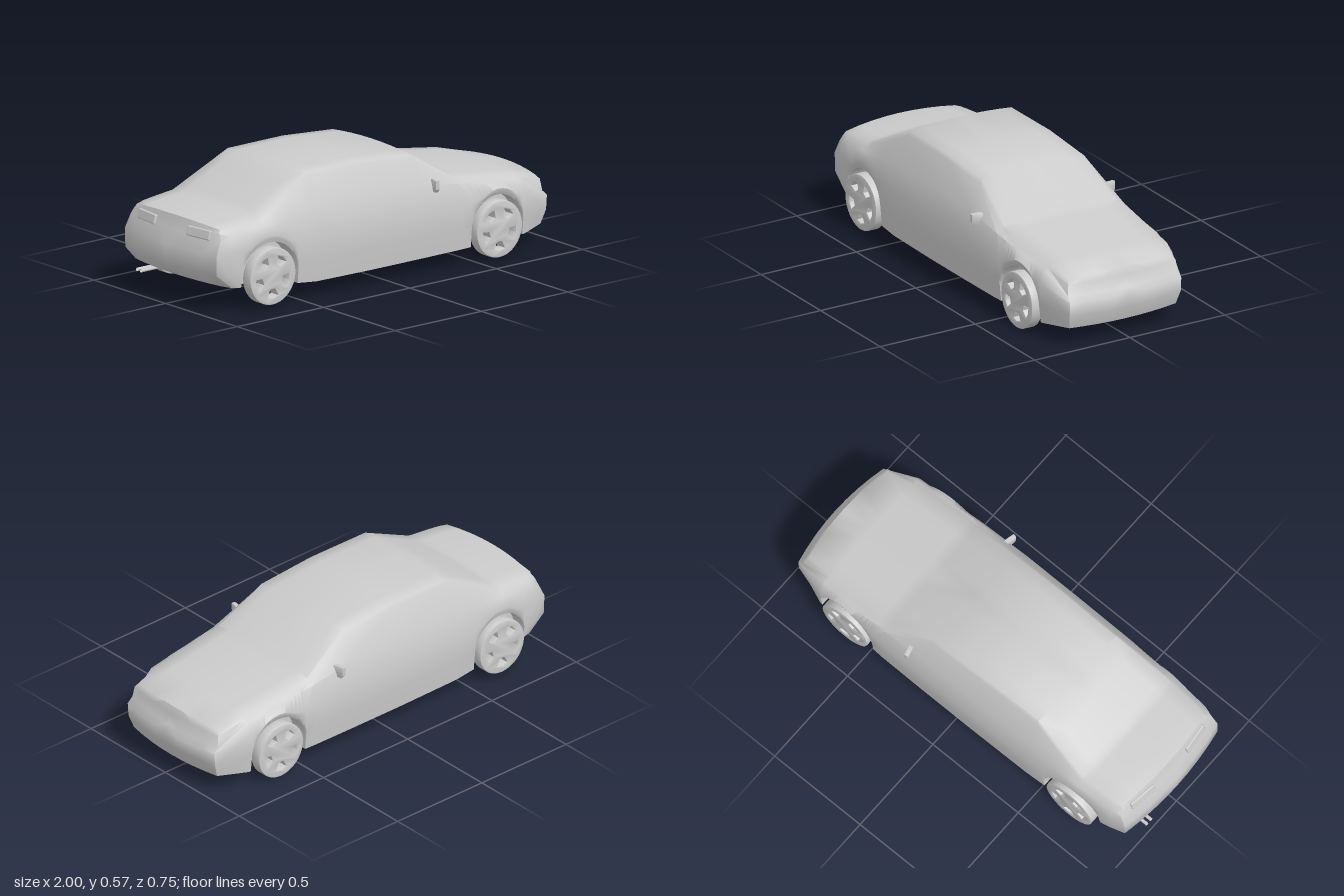
import * as THREE from 'three';
import { toCreasedNormals } from 'three/addons/utils/BufferGeometryUtils.js';
import { RoundedBoxGeometry } from 'three/addons/geometries/RoundedBoxGeometry.js';

const grey = new THREE.MeshStandardMaterial({ color: 0xcccccc, side: THREE.DoubleSide });
const WHEEL_R = 0.131, ARCH_R = 0.155, WELL_Z = 0.27;
const AXLES = [{ x: -0.68, y: 0.147 }, { x: 0.632, y: 0.132 }];

// Body stations, rear to nose:
// x, top y, top edge z, belt y z, widest y z, low y z, floor y z
const STATIONS = [
  [-0.95, 0.405, 0.285, 0.345, 0.312, 0.28, 0.32, 0.19, 0.318, 0.13, 0.30],
  [-0.90, 0.412, 0.29, 0.36, 0.325, 0.28, 0.335, 0.18, 0.333, 0.12, 0.32],
  [-0.71, 0.427, 0.30, 0.38, 0.335, 0.29, 0.352, 0.18, 0.35, 0.105, 0.345],
  [-0.42, 0.575, 0.265, 0.41, 0.335, 0.30, 0.366, 0.18, 0.362, 0.075, 0.352],
  [-0.10, 0.575, 0.268, 0.41, 0.337, 0.30, 0.369, 0.18, 0.365, 0.072, 0.354],
  [0.19, 0.553, 0.268, 0.41, 0.337, 0.30, 0.369, 0.18, 0.365, 0.072, 0.354],
  [0.42, 0.412, 0.298, 0.372, 0.335, 0.29, 0.365, 0.18, 0.362, 0.072, 0.352],
  [0.80, 0.357, 0.285, 0.32, 0.32, 0.27, 0.347, 0.17, 0.345, 0.075, 0.335],
  [0.95, 0.325, 0.27, 0.24, 0.288, 0.215, 0.292, 0.15, 0.292, 0.085, 0.28],
];
// How far the bumpers swell out, row by row down the fascia
const NOSE = [0, 0, 0, 0, 0, 0.015, 0.025, 0.05, 0.045, 0.02];
const TAIL = [0, 0, 0, 0, 0, 0.01, 0.02, 0.05, 0.05, 0.0];
const clamp01 = (v) => Math.min(1, Math.max(0, v));

function stationAt(x) {
  let i = 0;
  while (i < STATIONS.length - 2 && x > STATIONS[i + 1][0]) i++;
  const a = STATIONS[i], b = STATIONS[i + 1], t = (x - a[0]) / (b[0] - a[0]);
  return a.map((v, k) => v + (b[k] - v) * t);
}

// Swelling and plan curvature of the two ends
function warp(x, y, z, row) {
  const f = clamp01((x - 0.8) / 0.15), r = clamp01((-0.84 - x) / 0.11), j = Math.min(row, 9);
  return [x + f * (NOSE[j] - 0.4 * z * z) - r * (TAIL[j] - 0.3 * z * z), y, z];
}

// Half section from the top centre, down the side, through the wheel well to the floor centre
function section(x, archY) {
  const [, yt, ze, yb, zb, yw, zw, yl, zl, yf, zf] = stationAt(x);
  const open = archY !== undefined;
  const ya = open ? Math.max(archY, yf) : yf;
  const pts = [0, 0.25, 0.5, 0.75, 1].map((t) => [yt - 0.015 * t * t, ze * t]);
  pts.push([yt - 0.032, ze + 0.012], [yb, zb], [Math.max(yw, open ? ya + 0.03 : 0), zw],
    [Math.max(yl, open ? ya + 0.018 : 0), zl], [ya, zf], [ya, WELL_Z], [yf, WELL_Z], [yf, 0]);
  return pts.map(([y, z], row) => warp(x, y, z, row));
}

function makeBody() {
  // Plain stations, plus a fan of stations around each wheel arch
  const list = [];
  for (const s of STATIONS) {
    if (!AXLES.some((a) => Math.abs(s[0] - a.x) <= ARCH_R)) list.push([s[0]]);
  }
  for (const a of AXLES) {
    const fan = [[a.x - ARCH_R]];
    for (let i = 0; i <= 16; i++) {
      const t = Math.PI * (1 - i / 16);
      fan.push([a.x + ARCH_R * Math.cos(t), a.y + ARCH_R * Math.sin(t)]);
    }
    fan.push([a.x + ARCH_R]);
    const at = list.findIndex((s) => s[0] > a.x);
    list.splice(at, 0, ...fan);
  }
  const rings = list.map(([x, y]) => section(x, y));

  const pos = [];
  const A = new THREE.Vector3(), B = new THREE.Vector3(), C = new THREE.Vector3();
  const tri = (a, b, c) => {
    A.fromArray(a); B.fromArray(b).sub(A); C.fromArray(c).sub(A);
    if (B.cross(C).length() < 1e-9) return;
    pos.push(...a, ...b, ...c);
    for (const p of [a, c, b]) pos.push(p[0], p[1], -p[2]); // mirrored side
  };
  const quad = (a, b, c, d) => { tri(a, b, c); tri(a, c, d); };

  for (let i = 0; i < rings.length - 1; i++) {
    const r = rings[i], s = rings[i + 1];
    for (let j = 0; j < r.length - 1; j++) quad(r[j], r[j + 1], s[j + 1], s[j]);
  }
  // Nose and tail fascias
  for (const front of [true, false]) {
    const ring = rings[front ? rings.length - 1 : 0];
    const x0 = STATIONS[front ? STATIONS.length - 1 : 0][0];
    const point = (row, k) => (row === 4 ? ring[k]
      : k === 4 ? ring[row] : warp(x0, ring[row][1], ring[row][2] * k / 4, row));
    for (let row = 4; row < 9; row++) {
      for (let k = 0; k < 4; k++) {
        const q = [point(row, k), point(row, k + 1), point(row + 1, k + 1), point(row + 1, k)];
        quad(...(front ? q : q.reverse()));
      }
    }
  }
  const geo = new THREE.BufferGeometry();
  geo.setAttribute('position', new THREE.Float32BufferAttribute(pos, 3));
  return toCreasedNormals(geo, 0.9);
}

// Wheel disc with five tapered openings
function makeWheel() {
  const bevel = 0.005;
  const shape = new THREE.Shape().absarc(0, 0, WHEEL_R - bevel, 0, Math.PI * 2);
  for (let i = 0; i < 5; i++) {
    const mid = -Math.PI / 2 + i * Math.PI * 2 / 5;
    const corners = [[0.056, -0.3], [0.1, -0.36], [0.104, 0], [0.1, 0.36], [0.056, 0.3]];
    shape.holes.push(new THREE.Path(corners.map(([r, a]) =>
      new THREE.Vector2(r * Math.cos(mid + a), r * Math.sin(mid + a)))));
  }
  const geo = new THREE.ExtrudeGeometry(shape, {
    depth: 0.045, bevelEnabled: true, bevelSize: bevel, bevelThickness: bevel,
    bevelSegments: 2, curveSegments: 40,
  });
  geo.translate(0, 0, -0.0225);
  return toCreasedNormals(geo, 0.6);
}

// Door mirror outline, seen from the nose
function makeMirror() {
  const outline = [[0.295, 0.378], [0.312, 0.37], [0.362, 0.368], [0.373, 0.382],
    [0.374, 0.42], [0.335, 0.422], [0.30, 0.412]];
  const shape = new THREE.Shape(outline.map(([z, y]) => new THREE.Vector2(z - 0.335, y - 0.396)));
  const geo = new THREE.ExtrudeGeometry(shape, {
    depth: 0.014, bevelEnabled: true, bevelSize: 0.002, bevelThickness: 0.003, bevelSegments: 2,
  });
  geo.translate(0, 0, -0.007);
  geo.rotateY(-Math.PI / 2);
  geo.rotateY(-0.22);
  return toCreasedNormals(geo, 0.6);
}

export function createModel() {
  const car = new THREE.Group();
  car.name = 'car';
  const add = (name, geo, x = 0, y = 0, z = 0) => {
    const mesh = new THREE.Mesh(geo, grey);
    mesh.name = name;
    mesh.position.set(x, y, z);
    car.add(mesh);
    return mesh;
  };

  add('body', makeBody());

  const wheel = makeWheel(), mirror = makeMirror();
  const lamp = new RoundedBoxGeometry(0.022, 0.045, 0.14, 2, 0.006);
  for (const side of [1, -1]) {
    const label = side > 0 ? 'Near' : 'Far';
    AXLES.forEach((a, i) => add((i ? 'front' : 'rear') + 'Wheel' + label, wheel, a.x, a.y, side * 0.338));
    add('doorMirror' + label, mirror, 0.274, 0.396, side * 0.335).scale.z = side;
    const light = add('tailLight' + label, lamp, -0.953, 0.357, side * 0.18);
    light.rotation.set(0, side * 0.12, -0.25);
  }

  // Twin exhaust pipes under one rear corner
  const pipe = new THREE.CylinderGeometry(0.008, 0.008, 0.25, 16, 1, true).rotateZ(Math.PI / 2);
  [-0.2, -0.172].forEach((z, i) => add('exhaustPipe' + (i + 1), pipe, -0.875, 0.115, z));
  return car;
}
